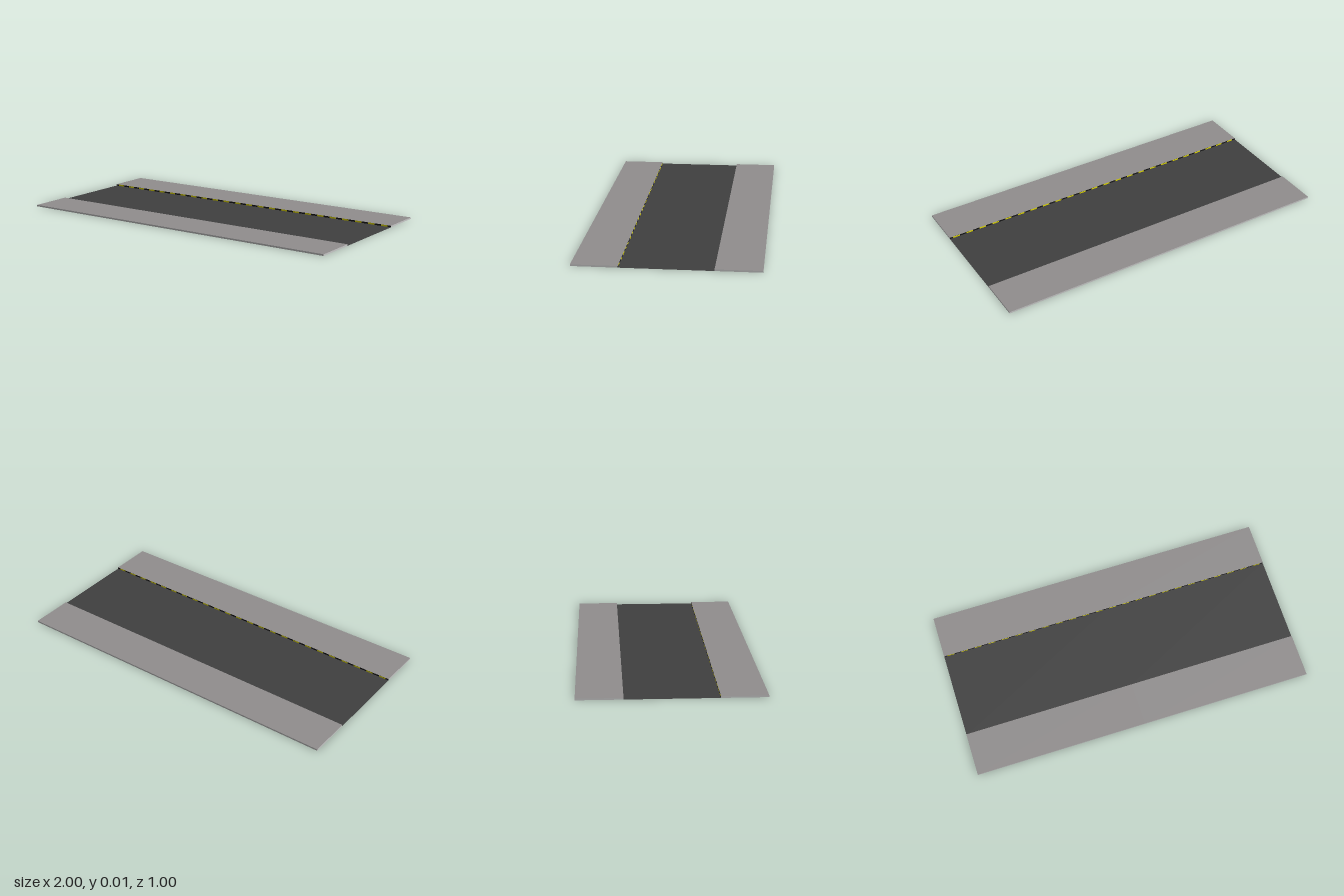
import * as THREE from 'three';

const mat = (name, color) => {
  const m = new THREE.MeshStandardMaterial({ color });
  m.name = name;
  return m;
};

export function createModel() {
  const asphalt = mat('asphalt', 0x404040);
  const paving = mat('paving', 0x918e8e);
  const edging = mat('paleEdging', 0xc8c8c8);
  const black = mat('kerbBlack', 0x161616);
  const yellow = mat('kerbYellow', 0xf2ea00);
  asphalt.side = THREE.DoubleSide;

  const H = 0.009;          // pavement height
  const INNER = 0.25;       // kerb line
  const WIDTH = 0.25;       // pavement width
  const STRIPES = 12;       // yellow blocks per tile
  const pitch = 1 / STRIPES;

  const model = new THREE.Group();
  model.name = 'roadSection';

  // Two square road tiles laid end to end
  for (const cx of [-0.5, 0.5]) {
    const tile = new THREE.Group();
    tile.name = cx < 0 ? 'rightTile' : 'leftTile';
    tile.position.x = cx;

    // Flat carriageway
    const road = new THREE.Mesh(new THREE.PlaneGeometry(1, INNER * 2).rotateX(-Math.PI / 2), asphalt);
    road.name = 'carriageway';
    tile.add(road);

    for (const s of [-1, 1]) {
      // Pavement slab: paved top and base, pale outer sides, black kerb face
      const faces = [edging, edging, paving, paving, edging, edging];
      faces[s < 0 ? 4 : 5] = black;
      const slab = new THREE.Mesh(new THREE.BoxGeometry(1, H, WIDTH), faces);
      slab.name = s < 0 ? 'backPavement' : 'frontPavement';
      slab.position.set(0, H / 2, s * (INNER + WIDTH / 2));
      tile.add(slab);

      // Yellow blocks along the kerb face
      const stripes = new THREE.Group();
      stripes.name = s < 0 ? 'backKerbStripes' : 'frontKerbStripes';
      for (let i = 0; i < STRIPES; i++) {
        const stripe = new THREE.Mesh(new THREE.PlaneGeometry(pitch / 2, H), yellow);
        stripe.name = 'kerbStripe';
        stripe.position.set(-0.5 + (i + 0.5) * pitch, H / 2, s * (INNER - 0.0005));
        if (s > 0) stripe.rotation.y = Math.PI;
        stripes.add(stripe);
      }
      tile.add(stripes);
    }
    model.add(tile);
  }
  return model;
}
